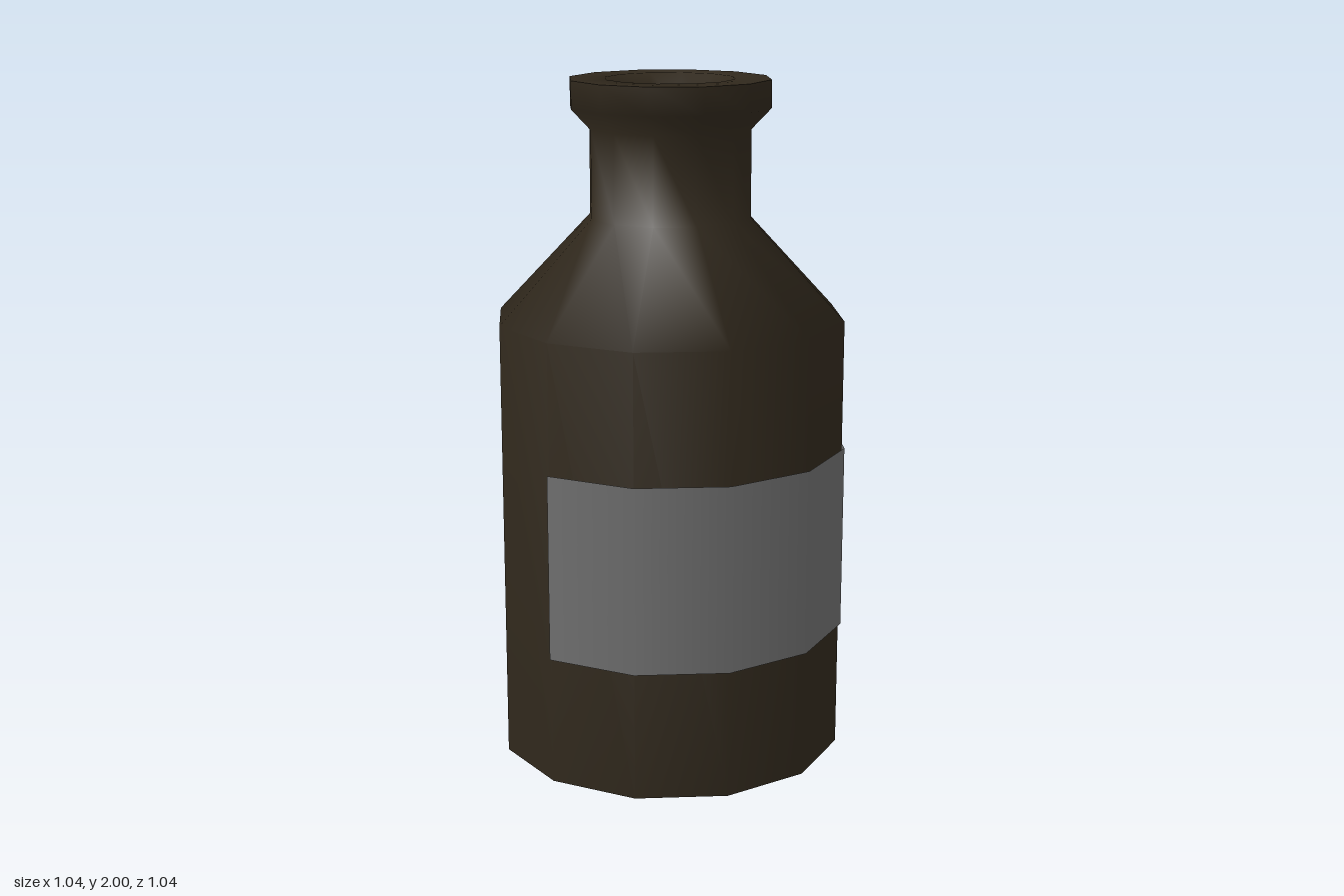
import * as THREE from 'three';

const SIDES = 12;
const glass = new THREE.MeshStandardMaterial({ color: 0x30281c });
const paper = new THREE.MeshStandardMaterial({ color: 0x6e6e6e, side: THREE.DoubleSide });

// Twelve-sided turned surface from [radius, height] pairs
function turned(name, profile, material, sides = SIDES, start = 0, sweep = Math.PI * 2) {
  const points = profile.map(([r, y]) => new THREE.Vector2(r, y));
  const mesh = new THREE.Mesh(new THREE.LatheGeometry(points, sides, start, sweep), material);
  mesh.name = name;
  return mesh;
}

export function createModel() {
  const bottle = new THREE.Group();
  bottle.name = 'bottle';

  // Flat underside
  bottle.add(turned('base', [[0, 0], [0.516, 0]], glass));

  // Body, shoulder, neck and flared lip, smooth throughout
  bottle.add(turned('body', [
    [0.516, 0], [0.516, 1.31], [0.238, 1.605],
    [0.238, 1.86], [0.295, 1.92], [0.295, 2],
  ], glass));

  // Flat rim sloping into the mouth
  bottle.add(turned('rim', [[0.295, 2], [0.19, 2], [0.148, 1.92], [0.148, 1.6]], glass));
  bottle.add(turned('mouthFloor', [[0.148, 1.6], [0, 1.6]], glass));

  // Label wrapped over five of the twelve facets
  const step = (Math.PI * 2) / SIDES;
  bottle.add(turned('label', [[0.524, 0.38], [0.524, 0.93]], paper, 5, -Math.PI / 2, step * 5));

  // The label sticks out on two sides, so shift to keep the whole centred
  bottle.position.set(0.004, 0, -0.004);

  const model = new THREE.Group();
  model.add(bottle);
  return model;
}
